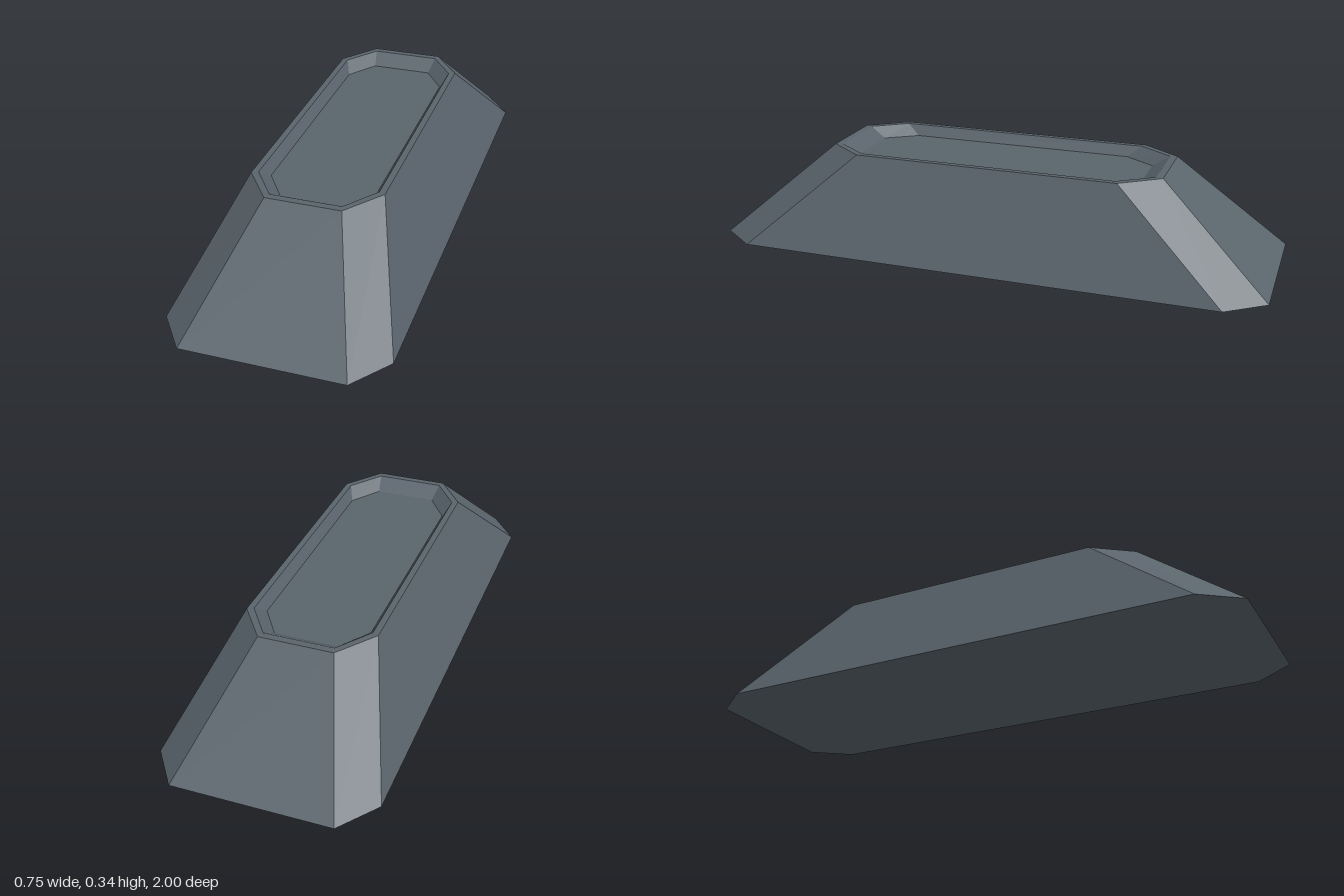
import * as THREE from 'three';

// Chamfered rectangle ring: half sizes x and z, with the chamfer starting at cx and cz
function ring(x, z, cx, cz, y) {
  return [[-cx, z], [cx, z], [x, cz], [x, -cz], [cx, -z], [-cx, -z], [-x, -cz], [-x, cz]]
    .map(([px, pz]) => new THREE.Vector3(px, y, pz));
}

// Flat-shaded surface through successive rings, with optional caps
function loft(rings, capStart, capEnd) {
  const pos = [];
  const tri = (...points) => points.forEach((p) => pos.push(p.x, p.y, p.z));
  for (let r = 0; r < rings.length - 1; r++) {
    const a = rings[r], b = rings[r + 1];
    for (let i = 0; i < a.length; i++) {
      const j = (i + 1) % a.length;
      tri(a[i], a[j], b[j]);
      tri(a[i], b[j], b[i]);
    }
  }
  const first = rings[0], last = rings[rings.length - 1];
  for (let i = 1; i < first.length - 1; i++) {
    if (capStart) tri(first[0], first[i + 1], first[i]);
    if (capEnd) tri(last[0], last[i], last[i + 1]);
  }
  const geometry = new THREE.BufferGeometry();
  geometry.setAttribute('position', new THREE.Float32BufferAttribute(pos, 3));
  geometry.computeVertexNormals();
  return geometry;
}

export function createModel() {
  const group = new THREE.Group();
  group.name = 'taperedPlinth';
  const slate = new THREE.MeshStandardMaterial({ color: 0x5a646c });
  slate.name = 'slate grey';
  slate.flatShading = true;

  const base = ring(0.377, 1, 0.275, 0.865, 0);
  const top = ring(0.23, 0.61, 0.13, 0.475, 0.34);
  const lip = ring(0.208, 0.585, 0.122, 0.465, 0.34);
  const floor = ring(0.185, 0.525, 0.11, 0.415, 0.302);

  const add = (name, ...args) => {
    const mesh = new THREE.Mesh(loft(...args), slate);
    mesh.name = name;
    group.add(mesh);
  };
  add('slopedBody', [base, top], true, false);
  add('topRim', [top, lip], false, false);
  add('recessedTray', [lip, floor], false, true);
  return group;
}
